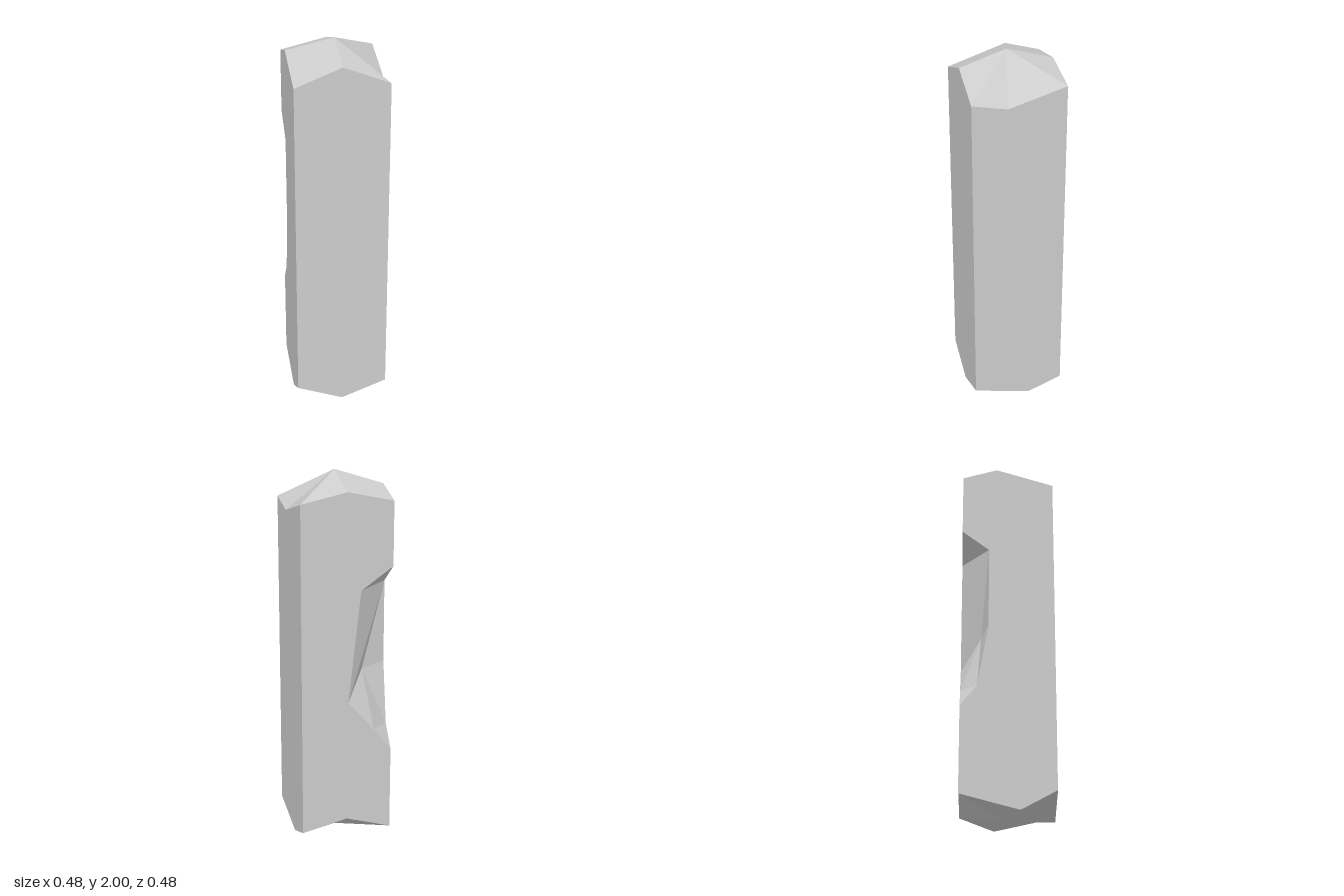
import * as THREE from 'three';

const V = (x, y, z) => new THREE.Vector3(x, y, z);
const W = 0.242; // half width of the square pillar

// Flat polygons, corners anticlockwise from outside, triangulated in their own plane
function facetedMesh(name, loops, material) {
  const pos = [];
  for (const loop of loops) {
    const n = V(0, 0, 0);
    loop.forEach((p, i) => n.add(V(0, 0, 0).crossVectors(p, loop[(i + 1) % loop.length])));
    n.normalize();
    const u = V(0, 0, 0).crossVectors(Math.abs(n.y) > 0.9 ? V(1, 0, 0) : V(0, 1, 0), n).normalize();
    const v = V(0, 0, 0).crossVectors(n, u);
    const flat = loop.map((p) => new THREE.Vector2(p.dot(u), p.dot(v)));
    for (const [a, b, c] of THREE.ShapeUtils.triangulateShape(flat, [])) {
      const ab = flat[b].clone().sub(flat[a]);
      const order = ab.cross(flat[c].clone().sub(flat[a])) > 0 ? [a, b, c] : [a, c, b];
      for (const i of order) pos.push(...loop[i].toArray());
    }
  }
  const geo = new THREE.BufferGeometry();
  geo.setAttribute('position', new THREE.Float32BufferAttribute(pos, 3));
  geo.computeVertexNormals();
  const mesh = new THREE.Mesh(geo, material);
  mesh.name = name;
  return mesh;
}

// Triangles from a centre point to each edge of a ring
const fan = (centre, ring) => ring.map((p, i) => [centre, p, ring[(i + 1) % ring.length]]);

export function createModel() {
  const stone = new THREE.MeshStandardMaterial({ color: 0xcccccc, flatShading: true });
  stone.name = 'lightGreyStone';

  // Uneven rims: corners and one break point per side
  const top = {
    r: V(W, 1.79, 0.06), br: V(W, 1.875, -W), b: V(0, 1.925, -W), bl: V(-W, 1.87, -W),
    l: V(-W, 1.925, -0.06), fl: V(-W, 1.83, W), f: V(0, 1.925, W), fr: V(W, 1.83, W),
  };
  const low = {
    r: V(W, 0.03, -0.06), br: V(W, 0.1, -W), b: V(0, 0.155, -W), bl: V(-W, 0.08, -W),
    l: V(-W, 0, 0.06), fl: V(-W, 0.1, W), f: V(0, 0.01, W), fr: V(W, 0.1, W),
  };

  // Chipped corner: points on the edge, on the back, on the side, and the deepest one
  const edgeTop = V(-W, 1.535, -W), edgeLow = V(-W, 0.535, -W);
  const backTop = V(-0.073, 1.418, -W), backMid = V(-0.007, 0.818, -W), backLow = V(-0.147, 0.655, -W);
  const sideTop = V(-W, 1.425, -0.1), sideMid = V(-W, 0.985, -0.1), sideLow = V(-W, 0.65, -0.155);
  const deep = V(-0.11, 0.965, -0.138);

  const model = new THREE.Group();
  model.name = 'stonePillar';
  model.add(
    facetedMesh('top', fan(V(0, 2, 0), Object.values(top)), stone),
    facetedMesh('underside', fan(V(0, 0.012, 0), Object.values(low).reverse()), stone),
    facetedMesh('frontFace', [[low.fl, low.f, low.fr, top.fr, top.f, top.fl]], stone),
    facetedMesh('rightFace', [[low.fr, low.r, low.br, top.br, top.r, top.fr]], stone),
    facetedMesh('backFace', [[low.br, low.b, low.bl, edgeLow, backLow, backMid, backTop, edgeTop,
      top.bl, top.b, top.br]], stone),
    facetedMesh('leftFace', [[low.bl, low.l, low.fl, top.fl, top.l, top.bl, edgeTop, sideTop,
      sideMid, sideLow, edgeLow]], stone),
    facetedMesh('chippedCorner', [
      [edgeTop, backTop, sideTop],
      [backTop, backMid, sideTop],
      [sideTop, backMid, deep],
      [sideTop, deep, sideMid],
      [backMid, backLow, deep],
      [deep, backLow, sideLow],
      [deep, sideLow, sideMid],
      [backLow, edgeLow, sideLow],
    ], stone),
  );
  return model;
}
